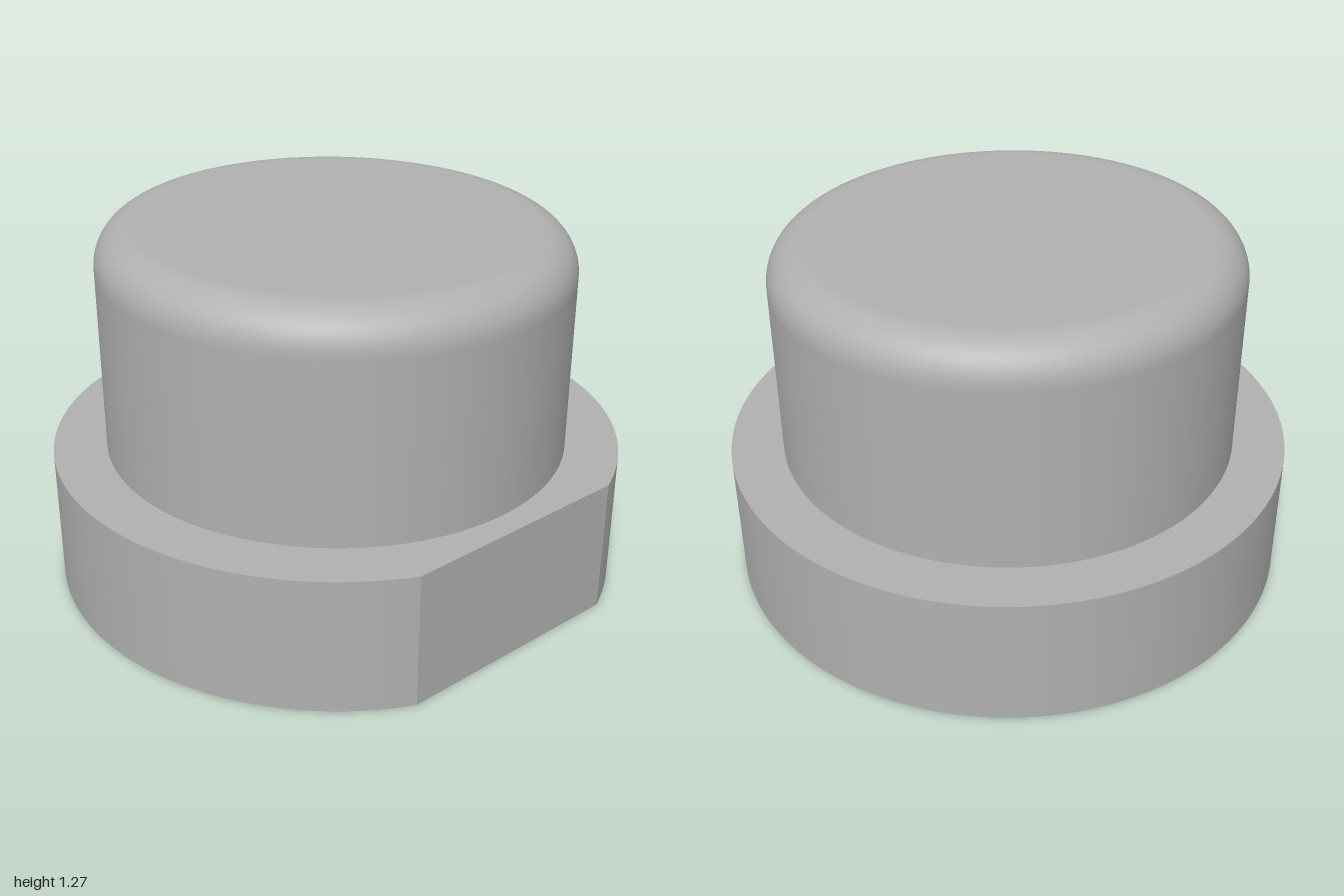
import * as THREE from 'three';
import { toCreasedNormals } from 'three/addons/utils/BufferGeometryUtils.js';

const CENTRE_X = 0.045;
const BASE_H = 0.475, BASE_R = 1, FLAT_X = 0.905;
const RECESS_R = 0.57, RECESS_DEPTH = 0.15;
const CAP_R = 0.815, CAP_H = 1.26, FILLET = 0.135, TILT = -0.0215;

export function createModel() {
  const model = new THREE.Group();
  const grey = new THREE.MeshStandardMaterial({ color: 0xb0b0b0 });
  grey.name = 'grey';

  const add = (name, geometry) => {
    const mesh = new THREE.Mesh(geometry, grey);
    mesh.name = name;
    mesh.position.x = CENTRE_X;
    model.add(mesh);
    return mesh;
  };

  // Flange: a disc with one side cut flat and a round hole
  const angle = Math.acos(FLAT_X / BASE_R);
  const outline = new THREE.Shape();
  outline.absarc(0, 0, BASE_R, angle, Math.PI * 2 - angle, false);
  outline.closePath();
  const hole = new THREE.Path();
  hole.absarc(0, 0, RECESS_R, 0, Math.PI * 2, true);
  outline.holes.push(hole);
  const flange = new THREE.ExtrudeGeometry(outline, { depth: BASE_H, bevelEnabled: false, curveSegments: 64 });
  flange.rotateX(-Math.PI / 2);
  add('flange', toCreasedNormals(flange, Math.PI / 9));

  // Floor of the shallow recess underneath
  const floor = new THREE.CircleGeometry(RECESS_R, 128);
  floor.rotateX(Math.PI / 2);
  add('recessFloor', floor).position.y = RECESS_DEPTH;

  // Cap: cylinder with a rounded rim and a slightly tilted top
  const filletY = CAP_H - FILLET;
  const profile = [
    new THREE.Vector2(CAP_R, BASE_H),
    new THREE.Vector2(CAP_R, filletY - 0.01),
  ];
  for (let i = 0; i <= 12; i++) {
    const a = (i / 12) * Math.PI / 2;
    profile.push(new THREE.Vector2(
      CAP_R - FILLET + FILLET * Math.cos(a), filletY + FILLET * Math.sin(a)));
  }
  profile.push(new THREE.Vector2(CAP_R - FILLET - 0.01, CAP_H), new THREE.Vector2(0, CAP_H));
  const cap = new THREE.LatheGeometry(profile, 96);
  const p = cap.attributes.position;
  for (let i = 0; i < p.count; i++) {
    if (p.getY(i) > BASE_H + 0.1) p.setY(i, p.getY(i) + TILT * p.getX(i));
  }
  add('cap', cap);

  return model;
}
